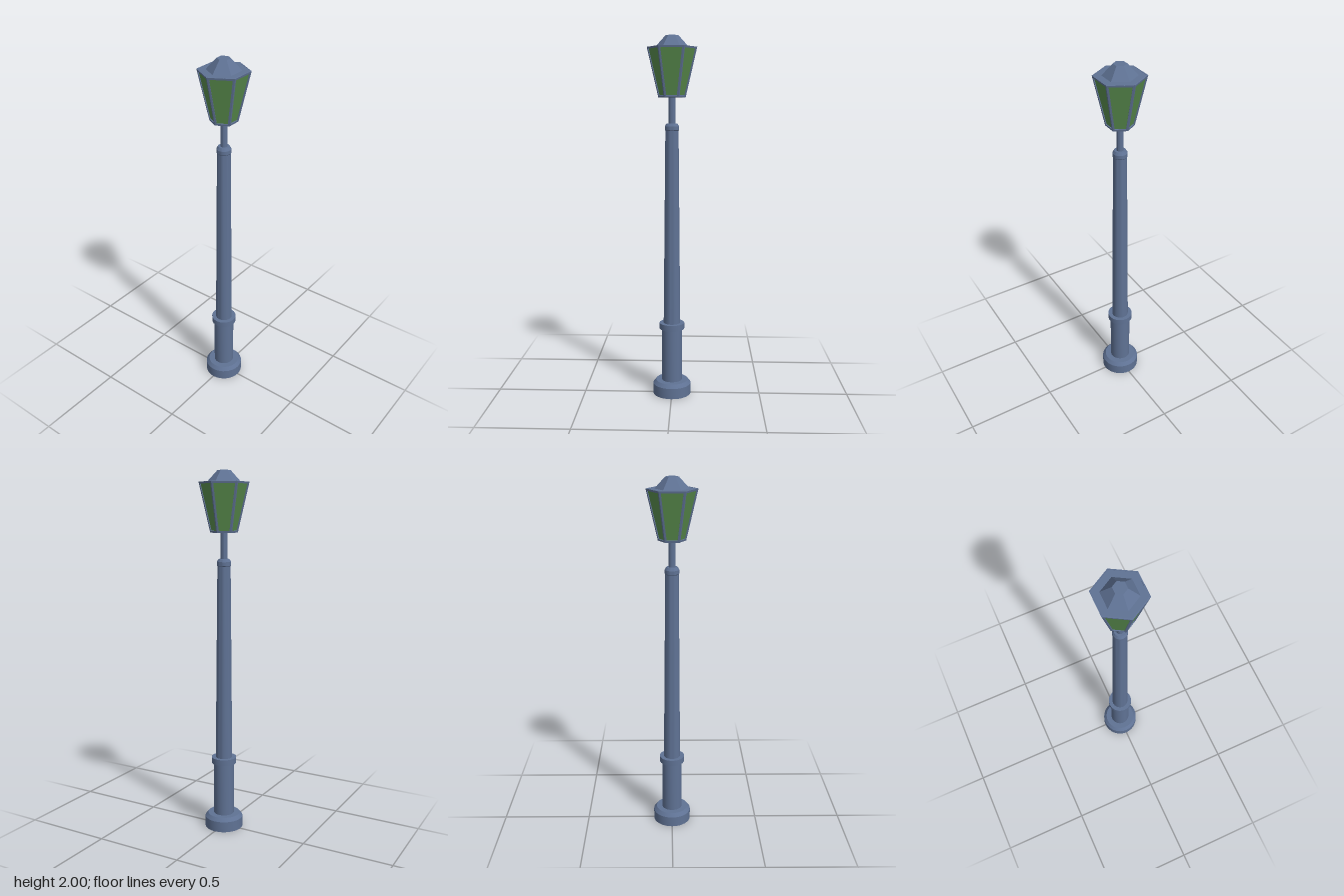
import * as THREE from 'three';
import { toCreasedNormals } from 'three/addons/utils/BufferGeometryUtils.js';

const metal = new THREE.MeshStandardMaterial({ color: 0x5f7294 });
const glass = new THREE.MeshStandardMaterial({ color: 0x588a4c });

function add(parent, name, geometry, material = metal) {
  const mesh = new THREE.Mesh(geometry, material);
  mesh.name = name;
  parent.add(mesh);
  return mesh;
}

// Round turned part from [radius, height] pairs, closed at both ends
function turned(profile) {
  const points = [[0, profile[0][1]], ...profile, [0, profile.at(-1)[1]]];
  const lathe = new THREE.LatheGeometry(points.map(([r, y]) => new THREE.Vector2(r, y)), 32);
  return toCreasedNormals(lathe, 0.5);
}

// Six-sided frustum with a corner on the x axis
function hexagon(rBottom, rTop, yBottom, yTop, open = false) {
  const g = new THREE.CylinderGeometry(rTop, rBottom, yTop - yBottom, 6, 1, open, Math.PI / 6);
  g.translate(0, (yTop + yBottom) / 2, 0);
  return toCreasedNormals(g, 0.3);
}

// Tapered outline: half widths at the bottom and top
function trapezoid(Type, bottom, top, y0, y1) {
  return new Type([[-bottom, y0], [bottom, y0], [top, y1], [-top, y1]]
    .map(([x, y]) => new THREE.Vector2(x, y)));
}

export function createModel() {
  const model = new THREE.Group();
  model.name = 'streetLamp';

  // Post
  add(model, 'base', turned([[0.107, 0], [0.107, 0.06], [0.09, 0.08]]));
  add(model, 'lowerColumn', turned([[0.057, 0.07], [0.057, 0.385]]));
  add(model, 'collar', turned([[0.07, 0.382], [0.07, 0.416]]));
  add(model, 'shaft', turned([[0.047, 0.41], [0.036, 1.5]]));
  add(model, 'shaftCap', turned([[0.034, 1.493], [0.039, 1.5], [0.039, 1.52], [0.03, 1.535]]));
  add(model, 'neck', turned([[0.018, 1.53], [0.018, 1.68]]));

  // Lantern
  const lantern = new THREE.Group();
  lantern.name = 'lantern';
  model.add(lantern);
  const yBottom = 1.675, yTop = 1.94, rBottom = 0.074, rTop = 0.135;
  const apothem = Math.cos(Math.PI / 6);
  const flare = (rTop - rBottom) * apothem;
  const slant = Math.hypot(flare, yTop - yBottom);
  const depth = 0.006, border = 0.01;

  // Window frame for one side, tilted outward
  const outline = trapezoid(THREE.Shape, rBottom / 2, rTop / 2, 0, slant);
  outline.holes.push(trapezoid(THREE.Path, rBottom / 2 - border + 0.001, rTop / 2 - border - 0.001,
    border, slant - border));
  const frame = new THREE.ExtrudeGeometry(outline, { depth, bevelEnabled: false });
  frame.translate(0, 0, -depth);
  frame.rotateX(Math.atan2(flare, yTop - yBottom));
  frame.translate(0, yBottom, rBottom * apothem);
  for (let i = 0; i < 6; i++) {
    add(lantern, 'windowFrame', frame).rotation.y = i * Math.PI / 3;
  }

  // Panes set just behind the frames, with a floor and lid closing the ends
  add(lantern, 'panes', hexagon(rBottom - 0.006, rTop - 0.006, yBottom + 0.001, yTop - 0.001, true), glass);
  add(lantern, 'floor', hexagon(rBottom, rBottom + 0.001, yBottom, yBottom + 0.005));
  add(lantern, 'lid', hexagon(rTop - 0.001, rTop, yTop - 0.005, yTop + 0.0005));
  add(lantern, 'roof', hexagon(0.09, 0.035, yTop, 2));

  return model;
}
